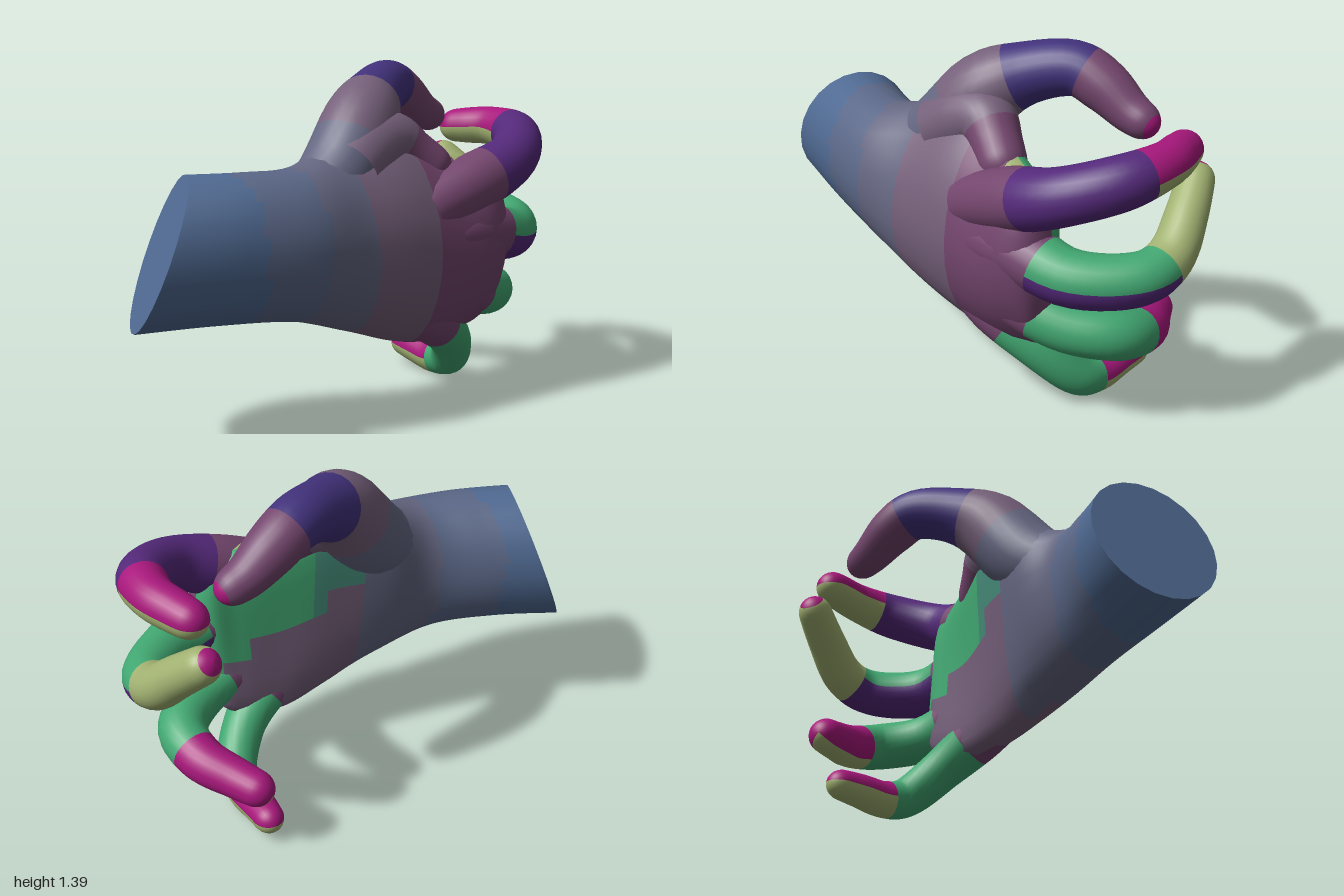
import * as THREE from 'three';

const BLUE = 0x506a92, SLATE = 0x656782, MAUVE = 0x75607a, PLUM = 0x74466e, PURPLE = 0x54297a;
const INDIGO = 0x42327c, MAGENTA = 0xa8187c, GREEN = 0x42a872, TEAL = 0x458a78, OLIVE = 0xa2b272;
const SIDES = 24;

// Smoothly interpolate rows of numbers, t in 0..1
function spline(rows, t) {
  const s = t * (rows.length - 1), i = Math.min(Math.floor(s), rows.length - 2), f = s - i;
  const at = k => rows[Math.max(0, Math.min(rows.length - 1, k))];
  return rows[0].map((_, c) => {
    const [a, b, d, e] = [at(i - 1)[c], at(i)[c], at(i + 1)[c], at(i + 2)[c]];
    const m = (d - a) / 2, n = (e - b) / 2;
    return b + m * f + (3 * (d - b) - 2 * m - n) * f * f + (2 * (b - d) + m + n) * f * f * f;
  });
}

// Skin a stack of rings; colourOf(ring, side) sorts the faces into material groups
function loft(name, rings, colourOf) {
  const positions = rings.flat().flatMap(p => [p.x, p.y, p.z]);
  const faces = new Map();
  for (let i = 0; i < rings.length - 1; i++) {
    for (let j = 0; j < SIDES; j++) {
      const k = (j + 1) % SIDES, colour = colourOf(i, j);
      const a = i * SIDES + j, b = i * SIDES + k, c = a + SIDES, d = b + SIDES;
      if (!faces.has(colour)) faces.set(colour, []);
      faces.get(colour).push(a, b, c, b, d, c);
    }
  }
  const geometry = new THREE.BufferGeometry();
  geometry.setAttribute('position', new THREE.Float32BufferAttribute(positions, 3));
  const index = [], materials = [];
  for (const [color, list] of faces) {
    geometry.addGroup(index.length, list.length, materials.length);
    index.push(...list);
    materials.push(new THREE.MeshStandardMaterial({ color }));
  }
  geometry.setIndex(index);
  geometry.computeVertexNormals();
  const mesh = new THREE.Mesh(geometry, materials);
  mesh.name = name;
  return mesh;
}

// Finger: rows of x, y, z, radius; the end is rounded off
function finger(name, rows, colour) {
  const steps = 44, rings = [], info = [];
  const point = t => new THREE.Vector3(...spline(rows, t).slice(0, 3));
  for (let i = 0; i <= steps; i++) {
    const t = 1 - Math.pow(1 - i / steps, 1.5);
    const p = point(t), r = spline(rows, t)[3];
    const tangent = point(Math.min(1, t + 0.02)).sub(point(Math.max(0, t - 0.02))).normalize();
    const side = tangent.clone().cross(new THREE.Vector3(0, 1, 0)).normalize();
    const up = side.clone().cross(tangent);
    const left = Math.min(1, p.distanceTo(point(1)) / r);
    const radius = Math.max(0.0005, r * Math.sqrt(1 - (1 - left) ** 2));
    const ring = [];
    for (let j = 0; j < SIDES; j++) {
      const a = j / SIDES * Math.PI * 2;
      ring.push(p.clone().addScaledVector(up, Math.cos(a) * radius).addScaledVector(side, Math.sin(a) * radius));
    }
    rings.push(ring);
    info.push(t);
  }
  return loft(name, rings, (i, j) => colour(info[i], Math.cos((j + 0.5) / SIDES * Math.PI * 2)));
}

export function createModel() {
  const hand = new THREE.Group();
  hand.name = 'hand';

  // Forearm and palm: x, mid y, half height, mid z, half depth, roll, bend, lean in y, lean in z
  const sections = [
    [-0.85, 0.74, 0.29, -0.11, 0.22, 0.05, 0, 0.42, 0.48],
    [-0.62, 0.745, 0.285, 0, 0.22, 0.03, 0, 0.25, 0.3],
    [-0.38, 0.74, 0.295, 0.1, 0.21, 0, 0.02, 0.08, 0.1],
    [-0.15, 0.73, 0.36, 0.13, 0.2, -0.05, 0.05, 0, 0],
    [0.08, 0.71, 0.42, 0.18, 0.17, -0.04, 0.08, 0, 0],
    [0.28, 0.65, 0.4, 0.225, 0.145, 0, 0.09, 0, 0],
    [0.45, 0.645, 0.36, 0.25, 0.13, 0.03, 0.07, 0, 0],
    [0.55, 0.65, 0.29, 0.245, 0.1, 0.02, 0.04, 0, 0],
    [0.6, 0.66, 0.02, 0.24, 0.01, 0, 0, 0, 0],
  ];
  const rings = [], steps = 64;
  for (let i = 0; i <= steps; i++) {
    const [x, cy, h, cz, d, roll, bend, leanY, leanZ] = spline(sections, i / steps);
    const ring = [], power = 1 - 0.3 * i / steps;
    for (let j = 0; j < SIDES; j++) {
      const a = j / SIDES * Math.PI * 2, c = Math.cos(a), s = Math.sin(a);
      const dy = h * c, dz = roll * c - bend * c * c + d * Math.sign(s) * Math.abs(s) ** power;
      ring.push(new THREE.Vector3(x + leanY * dy - leanZ * dz, cy + dy, cz + dz));
    }
    rings.push(ring);
  }
  hand.add(loft('forearmAndPalm', rings, (i, j) => {
    const { x, y } = rings[i][j];
    const inner = j >= SIDES / 2;
    if (x < -0.62) return BLUE;
    if (x < -0.38) return 0x5b6888;
    if (x < (inner ? -0.05 : -0.15)) return SLATE;
    if (inner) return y < 0.75 - 0.5 * x ? MAUVE : x < 0.15 ? TEAL : GREEN;
    if (x > 0.33 && y > 0.93) return OLIVE;
    return x < 0.15 ? MAUVE : PLUM;
  }));

  // Flat cut end of the forearm
  const rim = rings[0];
  const centre = rim.reduce((sum, p) => sum.add(p), new THREE.Vector3()).divideScalar(SIDES);
  const cap = new THREE.BufferGeometry().setFromPoints(
    rim.flatMap((p, j) => [centre, rim[(j + 1) % SIDES], p]));
  cap.computeVertexNormals();
  const capMesh = new THREE.Mesh(cap, new THREE.MeshStandardMaterial({ color: BLUE }));
  capMesh.name = 'forearmEnd';
  hand.add(capMesh);

  // Thumb with its fleshy base
  hand.add(finger('thumb', [
    [-0.32, 0.86, 0.07, 0.12], [-0.12, 0.97, 0.05, 0.16], [0.05, 1.165, 0, 0.155],
    [0.19, 1.25, -0.08, 0.12], [0.35, 1.285, -0.16, 0.106], [0.47, 1.235, -0.19, 0.1],
    [0.59, 1.16, -0.2, 0.08], [0.71, 1.12, -0.2, 0.06],
  ], t => t < 0.2 ? SLATE : t < 0.37 ? MAUVE : t < 0.62 ? INDIGO : t < 0.95 ? PLUM : MAGENTA));

  // Web of skin between thumb and index finger
  hand.add(finger('thumbWeb', [
    [-0.1, 1, 0.1, 0.13], [0.02, 1.07, 0.08, 0.135], [0.13, 1.09, 0.09, 0.12],
    [0.22, 1.03, 0.13, 0.1], [0.34, 0.93, 0.2, 0.09],
  ], t => t < 0.6 ? MAUVE : PLUM));

  // Index finger, curling toward the thumb
  hand.add(finger('indexFinger', [
    [0.18, 0.82, 0.23, 0.11], [0.42, 0.91, 0.265, 0.122], [0.64, 0.99, 0.275, 0.108],
    [0.82, 1.06, 0.15, 0.1], [0.87, 1.085, -0.02, 0.085], [0.84, 1.08, -0.16, 0.078], [0.8, 1.07, -0.28, 0.065],
  ], (t, up) => t < 0.2 ? PLUM : t < 0.56 ? PURPLE : up > -0.1 ? MAGENTA : OLIVE));

  // Middle finger, bent upward past its joint
  hand.add(finger('middleFinger', [
    [0.18, 0.7, 0.23, 0.11], [0.42, 0.72, 0.26, 0.122], [0.67, 0.67, 0.24, 0.108],
    [0.86, 0.675, 0.1, 0.1], [0.9, 0.72, -0.05, 0.09], [0.87, 0.84, -0.19, 0.08], [0.81, 0.975, -0.345, 0.068],
  ], (t, up) => t < 0.25 ? PLUM : t < 0.6 ? (up > -0.1 ? GREEN : PURPLE) : t < 0.97 ? OLIVE : MAGENTA));

  // Ring finger
  hand.add(finger('ringFinger', [
    [0.15, 0.55, 0.2, 0.11], [0.38, 0.49, 0.22, 0.115], [0.6, 0.42, 0.18, 0.1],
    [0.76, 0.39, 0.06, 0.098], [0.77, 0.35, -0.1, 0.09], [0.7, 0.32, -0.25, 0.078], [0.63, 0.3, -0.395, 0.066],
  ], (t, up) => t < 0.25 ? PLUM : t < 0.62 ? GREEN : up > -0.7 ? MAGENTA : OLIVE));

  // Little finger
  hand.add(finger('littleFinger', [
    [0.1, 0.44, 0.17, 0.1], [0.27, 0.36, 0.18, 0.105], [0.44, 0.24, 0.13, 0.09],
    [0.55, 0.115, 0.03, 0.082], [0.575, 0.08, -0.08, 0.075], [0.585, 0.09, -0.21, 0.068], [0.6, 0.1, -0.355, 0.055],
  ], (t, up) => t < 0.22 ? PLUM : t < 0.63 ? GREEN : up > 0 ? MAGENTA : OLIVE));

  return hand;
}
